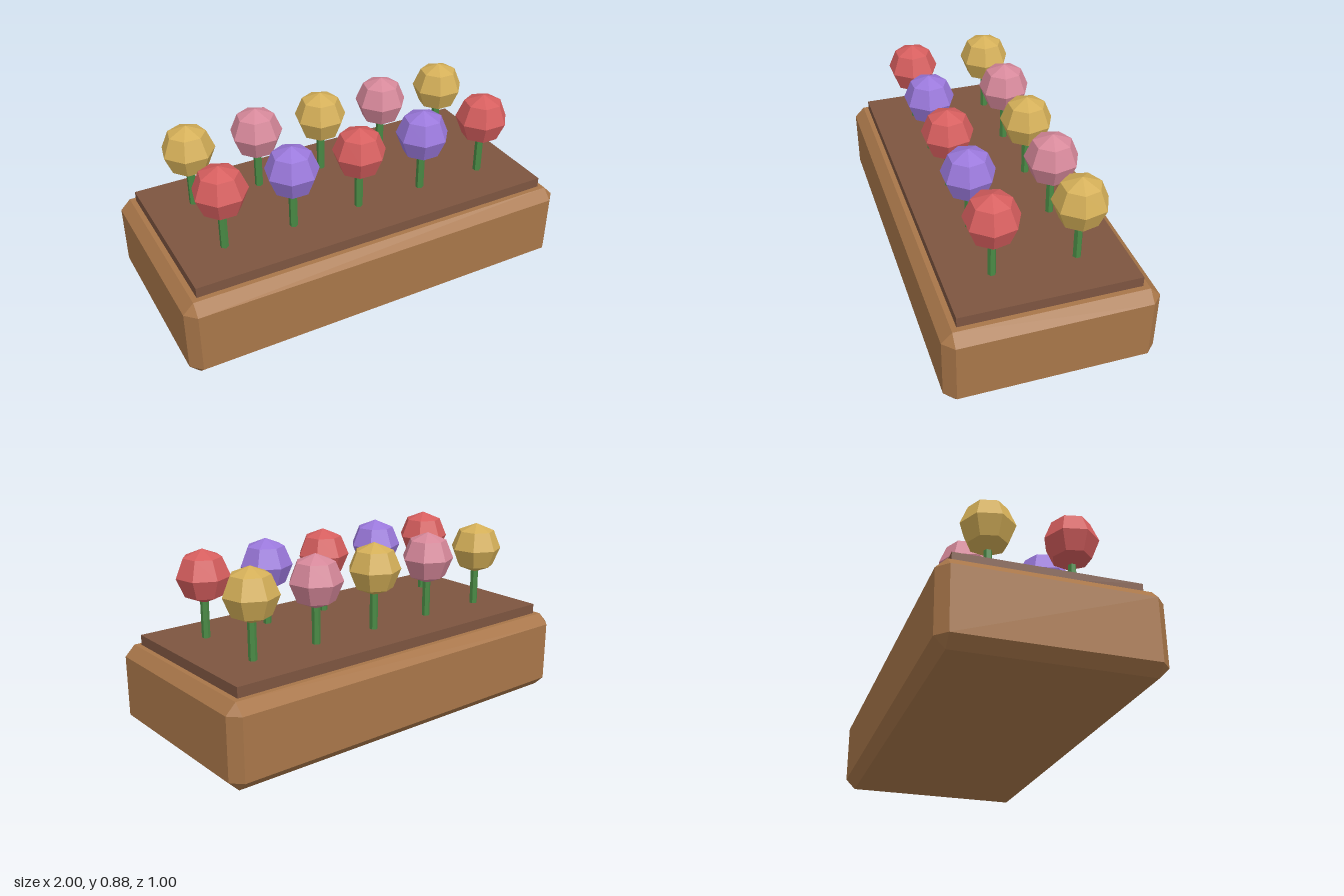
import * as THREE from 'three';
import { ConvexGeometry } from 'three/addons/geometries/ConvexGeometry.js';

const paint = (name, color) => {
  const m = new THREE.MeshStandardMaterial({ color, flatShading: true });
  m.name = name;
  return m;
};

// Box with every edge cut at 45 degrees
function chamferedBox(w, h, d, c) {
  const points = [];
  for (const sx of [-1, 1]) for (const sy of [-1, 1]) for (const sz of [-1, 1]) {
    const x = w / 2, y = h / 2, z = d / 2;
    points.push(
      new THREE.Vector3(sx * x, sy * (y - c), sz * (z - c)),
      new THREE.Vector3(sx * (x - c), sy * y, sz * (z - c)),
      new THREE.Vector3(sx * (x - c), sy * (y - c), sz * z),
    );
  }
  return new ConvexGeometry(points);
}

export function createModel() {
  const wood = paint('wood', 0xa87649);
  const earth = paint('earth', 0x7d5540);
  const green = paint('stem green', 0x4a8a45);
  const red = paint('red petals', 0xd65e5e);
  const purple = paint('purple petals', 0x9a78db);
  const yellow = paint('yellow petals', 0xd4af58);
  const pink = paint('pink petals', 0xd6889a);

  const model = new THREE.Group();
  model.name = 'flowerPlanter';
  const add = (parent, name, geometry, material, y) => {
    const mesh = new THREE.Mesh(geometry, material);
    mesh.name = name;
    mesh.position.y = y;
    parent.add(mesh);
  };

  // Planter and the raised bed of soil
  add(model, 'planterBox', chamferedBox(2, 0.4, 1, 0.05), wood, 0.2);
  add(model, 'soil', new THREE.BoxGeometry(1.85, 0.1, 0.85), earth, 0.4);

  // Two rows of five flowers with alternating colours
  const stem = new THREE.CylinderGeometry(0.02, 0.02, 0.25, 6);
  const bloom = new THREE.SphereGeometry(0.13, 7, 4).rotateY(-Math.PI / 2);
  const rows = [
    { name: 'front', z: 0.2, colors: [red, purple] },
    { name: 'back', z: -0.2, colors: [yellow, pink] },
  ];
  for (const { name, z, colors } of rows) {
    for (let i = 0; i < 5; i++) {
      const flower = new THREE.Group();
      flower.name = `${name}Flower${i + 1}`;
      flower.position.set((i - 2) * 0.35, 0, z);
      add(flower, 'stem', stem, green, 0.55);
      add(flower, 'bloom', bloom, colors[i % 2], 0.75);
      model.add(flower);
    }
  }
  return model;
}
